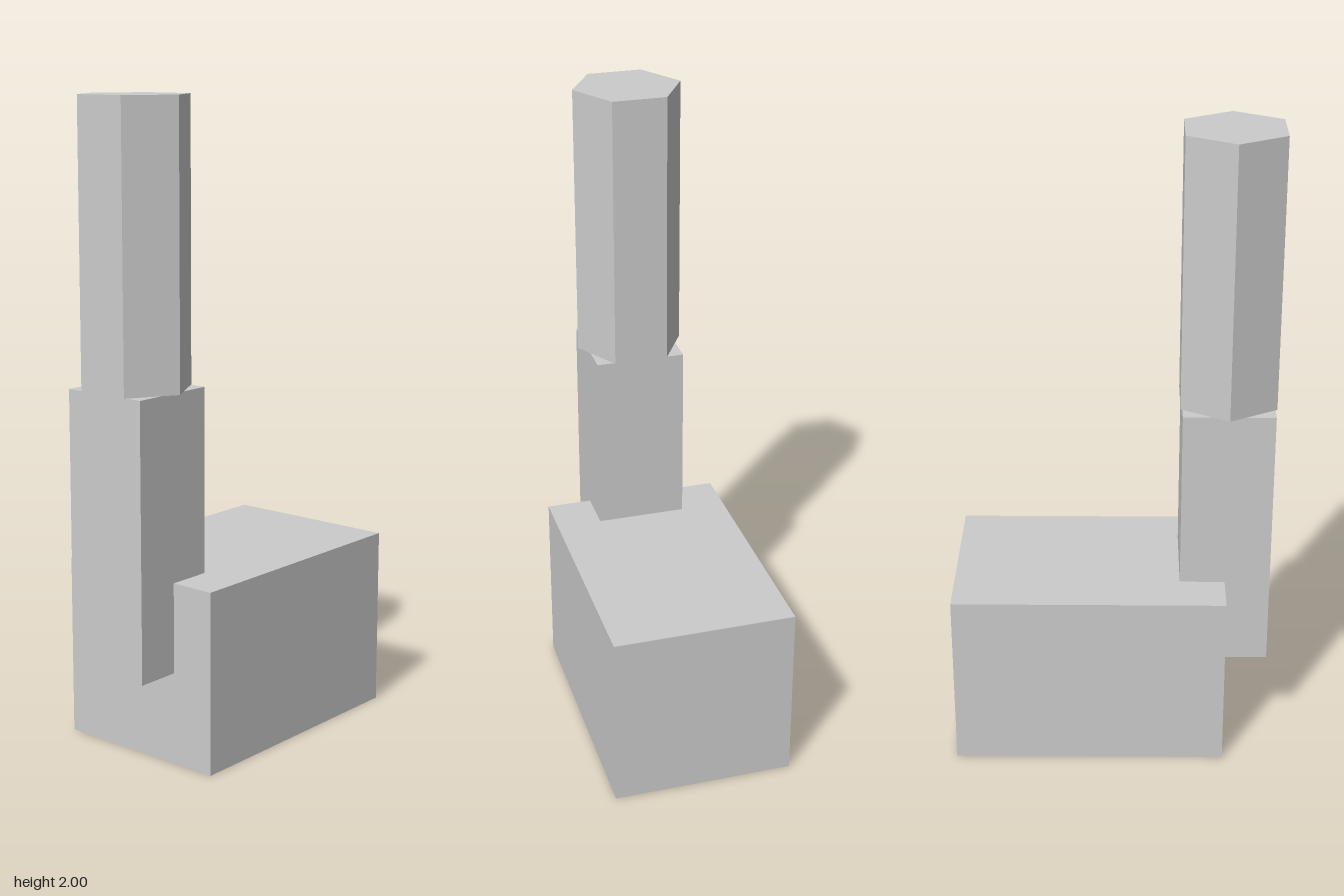
import * as THREE from 'three';

export function createModel() {
  const group = new THREE.Group();
  const material = new THREE.MeshStandardMaterial({ color: 0xcccccc, flatShading: true });

  const add = (name, geometry, x, y, z) => {
    const mesh = new THREE.Mesh(geometry, material);
    mesh.name = name;
    mesh.position.set(x, y, z);
    group.add(mesh);
  };

  const postZ = 0.353; // shared axis of the post and the hexagonal column

  // Long base block, its front face on the post axis
  add('base', new THREE.BoxGeometry(0.57, 0.57, 0.853), 0, 0.285, -0.0735);

  // Square post, half sunk into the front of the base
  add('post', new THREE.BoxGeometry(0.283, 0.855, 0.283), 0, 0.7165, postZ);

  // Hexagonal column with corners pointing left and right
  const hex = new THREE.CylinderGeometry(0.17, 0.17, 0.856, 6).rotateY(Math.PI / 6);
  add('hexColumn', hex, 0, 1.572, postZ);

  return group;
}
